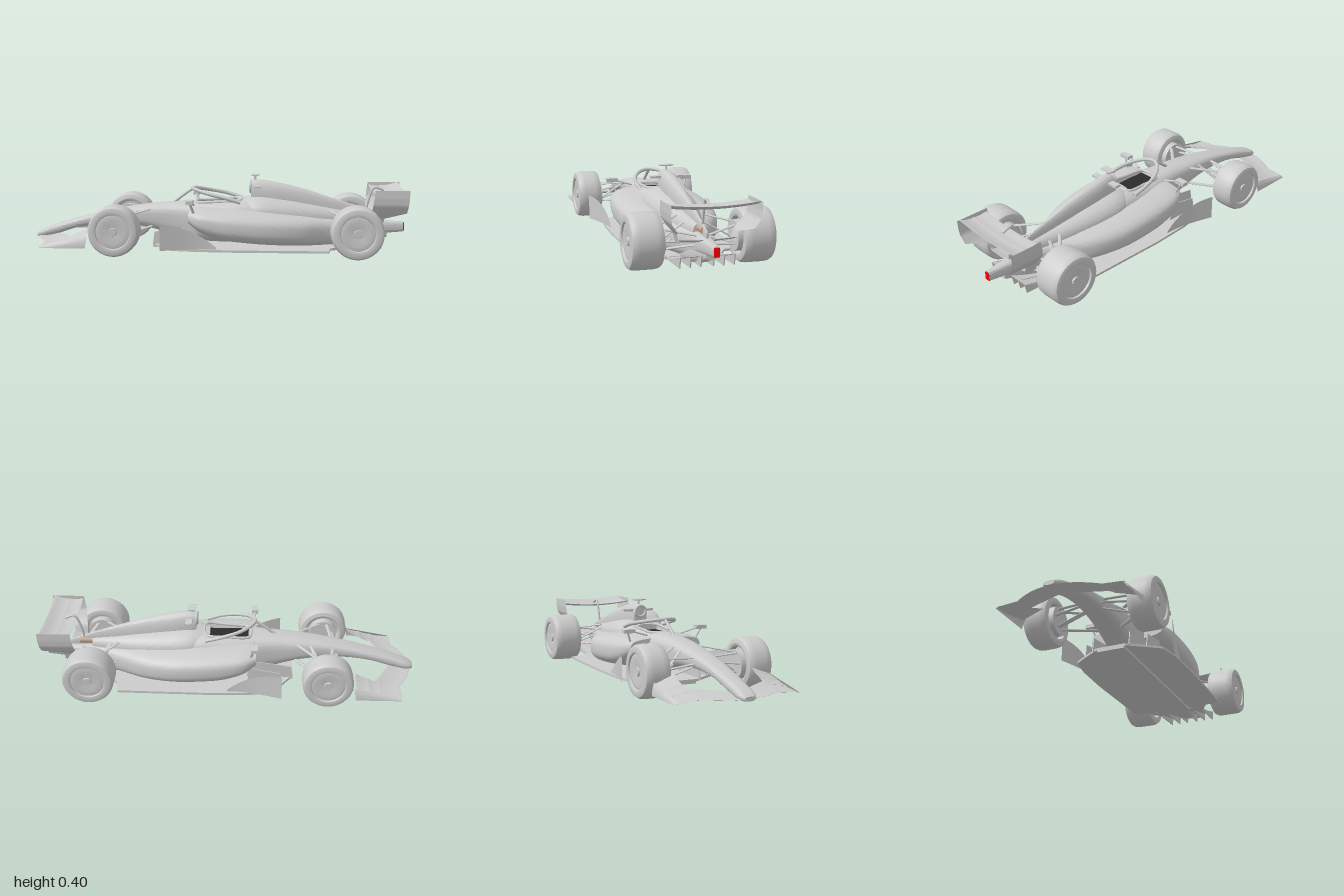
import * as THREE from 'three';
import { toCreasedNormals } from 'three/addons/utils/BufferGeometryUtils.js';

const paint = (color) => new THREE.MeshStandardMaterial({ color, side: THREE.DoubleSide });
const grey = paint(0xcccccc), dark = paint(0x2b2b2b), red = paint(0xff0000), copper = paint(0xc8a488);
const V = (x, y, z) => new THREE.Vector3(x, y, z);
const mix = THREE.MathUtils.lerp;

export function createModel() {
  const car = new THREE.Group();
  car.name = 'racingCar';

  const add = (name, geometry, material = grey, x = 0, y = 0, z = 0) => {
    const m = new THREE.Mesh(geometry, material);
    m.name = name;
    m.position.set(x, y, z);
    car.add(m);
    return m;
  };
  const box = (name, x, y, z, w, h, d, mat) => add(name, new THREE.BoxGeometry(w, h, d), mat, x, y, z);
  const both = (fn) => [1, -1].forEach(fn);

  // Surface from a rule fn(u, v) -> [x, y, z]
  const surface = (name, fn, nu, nv, mat) => {
    const g = new THREE.PlaneGeometry(1, 1, nu, nv), p = g.attributes.position, uv = g.attributes.uv;
    for (let i = 0; i < p.count; i++) p.setXYZ(i, ...fn(uv.getX(i), uv.getY(i)));
    return add(name, toCreasedNormals(g, 0.7), mat);
  };

  // Body lofted along x from stations [x, half width, bottom, top]; n sets the roundness
  const loft = (name, rows, n, shape = (p) => p, nv = 90) => {
    const curve = new THREE.CubicInterpolant(rows.map((r) => r[0]), rows.flatMap((r) => r.slice(1)), 3, new Float32Array(3));
    const a = rows[0][0], b = rows[rows.length - 1][0];
    const pow = (c) => Math.sign(c) * Math.abs(c) ** (2 / n);
    return surface(name, (u, v) => {
      const k = Math.round(v * nv);
      const x = mix(a, b, THREE.MathUtils.clamp((k - 1) / (nv - 2), 0, 1));
      const [w, lo, hi] = curve.evaluate(x), t = -u * Math.PI * 2;
      const s = k === 0 || k === nv ? 0 : 1; // closes both ends
      return shape([x, (lo + hi) / 2 + s * pow(Math.sin(t)) * (hi - lo) / 2, s * w * pow(Math.cos(t))]);
    }, 64, nv);
  };

  // Aerofoil spanning v = 0..1; section(v) -> [x0, y0, x1, y1, z, thickness]
  const wing = (name, section, nv = 20) => surface(name, (u, v) => {
    const [x0, y0, x1, y1, z, t] = section(v), a = u * Math.PI * 2, c = (1 - Math.cos(a)) / 2;
    return [mix(x0, x1, c), mix(y0, y1, c) - t * Math.sin(c * Math.PI) + t * Math.sin(a) / 2, z];
  }, 20, nv);

  const rod = (name, pts, r, mat = grey) =>
    add(name, new THREE.TubeGeometry(new THREE.CatmullRomCurve3(pts), pts.length * 8, r, 8), mat);

  // Flat link with a streamlined section between two points
  const arm = (name, a, b, chord = 0.02) => {
    const m = add(name, new THREE.CylinderGeometry(0.5, 0.5, a.distanceTo(b), 10));
    m.position.copy(a).lerp(b, 0.5);
    const y = b.clone().sub(a).normalize(), z = V(1, 0, 0).cross(y).normalize();
    m.quaternion.setFromRotationMatrix(new THREE.Matrix4().makeBasis(y.clone().cross(z), y, z));
    m.scale.set(chord, 1, 0.009);
  };

  // Vertical plate in x-y extruded through a small thickness
  const plate = (name, pts, z, t = 0.005) => {
    const s = new THREE.Shape(pts.map((p) => new THREE.Vector2(...p)));
    return add(name, new THREE.ExtrudeGeometry(s, { depth: t, bevelEnabled: false }), grey, 0, 0, z - t / 2);
  };

  // Nose and survival cell, with the cockpit sunk into the top
  loft('noseAndChassis', [
    [-1, 0.026, 0.055, 0.076], [-0.985, 0.038, 0.053, 0.086], [-0.9, 0.045, 0.068, 0.12], [-0.75, 0.051, 0.112, 0.165],
    [-0.6, 0.058, 0.128, 0.202], [-0.4, 0.075, 0.115, 0.236], [-0.25, 0.085, 0.075, 0.251], [-0.15, 0.1, 0.05, 0.256],
    [0, 0.128, 0.04, 0.262], [0.13, 0.132, 0.04, 0.272], [0.3, 0.125, 0.04, 0.26]], 3,
  ([x, y, z]) => [x, y > 0.2 && Math.abs(x) < 0.115 && Math.abs(z) < 0.062 ? 0.2 : y, z], 130);
  box('cockpitInterior', 0.005, 0.21, 0, 0.225, 0.06, 0.118, dark);
  rod('cockpitRim', [V(-0.125, 0.253, 0), V(-0.11, 0.253, 0.055), V(0, 0.258, 0.068), V(0.11, 0.266, 0.066), V(0.13, 0.272, 0),
    V(0.11, 0.266, -0.066), V(0, 0.258, -0.068), V(-0.11, 0.253, -0.055), V(-0.125, 0.253, 0)], 0.008);

  // Sidepods narrowing into the tail
  loft('sidepods', [
    [-0.15, 0.2, 0.145, 0.23], [-0.1, 0.228, 0.105, 0.236], [0, 0.247, 0.065, 0.235], [0.15, 0.252, 0.045, 0.227], [0.3, 0.238, 0.035, 0.212],
    [0.45, 0.19, 0.03, 0.195], [0.58, 0.115, 0.03, 0.178], [0.7, 0.062, 0.04, 0.17], [0.85, 0.035, 0.085, 0.162], [0.985, 0.016, 0.1, 0.153]], 3);
  // Engine cover and its spine
  loft('engineCover', [
    [0.1, 0.1, 0.1, 0.272], [0.2, 0.128, 0.1, 0.287], [0.35, 0.12, 0.1, 0.272], [0.5, 0.09, 0.1, 0.245], [0.62, 0.058, 0.1, 0.222], [0.74, 0.03, 0.12, 0.203]], 2.3);
  loft('airboxAndSpine', [
    [0.172, 0.037, 0.24, 0.37], [0.2, 0.041, 0.2, 0.374], [0.3, 0.044, 0.18, 0.362], [0.45, 0.034, 0.15, 0.327],
    [0.6, 0.02, 0.14, 0.281], [0.72, 0.01, 0.14, 0.242], [0.86, 0.006, 0.14, 0.19]], 2.4);
  const inlet = add('airboxInlet', new THREE.TorusGeometry(0.03, 0.007, 10, 28), grey, 0.17, 0.336, 0);
  inlet.rotation.y = Math.PI / 2;
  box('airboxWinglet', 0.21, 0.34, 0, 0.035, 0.012, 0.178);
  box('cameraStem', 0.195, 0.385, 0, 0.014, 0.03, 0.006);
  box('cameraBar', 0.195, 0.398, 0, 0.04, 0.006, 0.07);

  // Halo
  rod('haloHoop', [V(0.12, 0.262, 0.118), V(0.03, 0.288, 0.12), V(-0.06, 0.307, 0.095), V(-0.12, 0.321, 0.05), V(-0.142, 0.325, 0),
    V(-0.12, 0.321, -0.05), V(-0.06, 0.307, -0.095), V(0.03, 0.288, -0.12), V(0.12, 0.262, -0.118)], 0.01);
  rod('haloPillar', [V(-0.14, 0.324, 0), V(-0.18, 0.298, 0), V(-0.25, 0.245, 0)], 0.008);

  // Floor, plank and diffuser
  const half = [[-0.35, 0.08], [-0.29, 0.17], [-0.24, 0.24], [-0.12, 0.262], [0.1, 0.27], [0.58, 0.262], [0.59, 0.18], [0.66, 0.14]];
  const outline = [...half, ...half.map(([x, z]) => [x, -z]).reverse()].map((p) => new THREE.Vector2(...p));
  const floor = add('floor', new THREE.ExtrudeGeometry(new THREE.Shape(outline), { depth: 0.012, bevelEnabled: false }), grey, 0, 0.035, 0);
  floor.rotation.x = Math.PI / 2;
  box('plank', 0.13, 0.018, 0, 0.96, 0.012, 0.15);
  surface('diffuserRoof', (u, v) => [mix(0.58, 0.87, u), 0.028 + 0.055 * u * u, mix(0.135, -0.135, v)], 14, 2);
  for (const z of [-0.13, -0.08, -0.03, 0.03, 0.08, 0.13])
    plate('diffuserFence', [[0.6, 0.022], [0.86, 0.03], [0.87, 0.083], [0.75, 0.05], [0.6, 0.03]], z);
  loft('diffuserKeel', [[0.58, 0.07, 0.015, 0.05], [0.75, 0.05, 0.022, 0.11], [0.9, 0.018, 0.07, 0.12]], 3, undefined, 20);

  // Rear light and exhaust
  box('rearLight', 0.984, 0.126, 0, 0.012, 0.042, 0.026, red);
  const pipe = add('exhaust', new THREE.CylinderGeometry(0.016, 0.016, 0.14, 20), copper, 0.74, 0.186, 0);
  pipe.rotation.z = Math.PI / 2;

  // Rear wing: two bowed planes, beam wing and a centre support
  const bow = (z) => 0.014 * (z / 0.21) ** 2;
  const span = (name, w, x0, y0, x1, y1, t) => wing(name, (v) => {
    const z = mix(w, -w, v), b = bow(z);
    return [x0, y0 + b, x1, y1 + b, z, t];
  });
  span('rearWingMain', 0.208, 0.82, 0.312, 0.91, 0.312, 0.008);
  span('rearWingFlap', 0.208, 0.895, 0.308, 0.978, 0.33, 0.006);
  span('beamWing', 0.133, 0.8, 0.14, 0.87, 0.157, 0.005);
  rod('rearWingSupport', [V(0.78, 0.17, 0), V(0.8, 0.27, 0), V(0.83, 0.335, 0), V(0.88, 0.322, 0)], 0.007);

  // Endplate edge points [front x, rear x, y, z]
  const edge = [[0.815, 0.99, 0.342, 0.21], [0.81, 0.988, 0.3, 0.21], [0.805, 0.985, 0.262, 0.205], [0.8, 0.98, 0.222, 0.178],
    [0.795, 0.87, 0.19, 0.148], [0.795, 0.86, 0.14, 0.132]];
  both((s) => {
    surface('rearWingEndplate', (u, v) => {
      const k = Math.min(v * 5, 4.999), i = Math.floor(k), [a, b, y, z] = edge[i].map((e, j) => mix(e, edge[i + 1][j], k - i));
      return [mix(a, b, u), y, s * z];
    }, 6, 20);

    // Front wing: swept inner plane, stepped outer elements, curved endplate
    wing('frontWingMain', (v) => [-0.985 + 0.08 * v * v, 0.062, mix(-0.88, -0.775, v), 0.072 + 0.02 * v, s * 0.215 * v, 0.008]);
    wing('frontWingOuter', (v) => [-0.91, 0.06 - 0.008 * v, -0.79, 0.08 - 0.015 * v, s * mix(0.21, 0.315, v), 0.006]);
    wing('frontWingFlap', (v) => [-0.81, 0.08 - 0.015 * v, -0.73, 0.108 - 0.025 * v, s * mix(0.21, 0.315, v), 0.006]);
    wing('frontWingUpperFlap', (v) => [-0.745, 0.103 - 0.022 * v, -0.668, 0.138 - 0.04 * v, s * mix(0.21, 0.315, v), 0.005]);
    surface('frontWingEndplate', (u, v) => [mix(-0.91, -0.67, u) + 0.01 * v, mix(0.045, 0.06 + 0.045 * u, v),
      s * (0.325 - 0.015 * v * v)], 10, 6);

    // Floor fences ahead of the sidepods
    surface('edgeFence', (u, v) => [mix(-0.285, 0, u), mix(0.035, 0.165 - 0.12 * u * u, v), s * (0.31 - 0.06 * Math.sin(u * Math.PI / 2))], 16, 4);
    plate('innerFence', [[-0.35, 0.025], [-0.34, 0.1], [-0.24, 0.115], [-0.12, 0.13], [-0.1, 0.03]], s * 0.1);
    plate('middleFence', [[-0.29, 0.025], [-0.28, 0.1], [-0.12, 0.13], [-0.1, 0.03]], s * 0.17);

    // Mirrors
    box('mirror', -0.14, 0.274, s * 0.21, 0.035, 0.02, 0.062);
    arm('mirrorStay', V(-0.14, 0.27, s * 0.185), V(-0.13, 0.245, s * 0.1), 0.014);
    arm('mirrorPost', V(-0.14, 0.27, s * 0.215), V(-0.12, 0.21, s * 0.19), 0.014);

    // Wheels
    const wheel = (name, x, r, inner, outer) => {
      const w = outer - inner, c = 0.02;
      const profile = [[0.02, 0.03], [0.085, 0.03], [0.09, 0.004], [r - 0.03, 0], [r - 0.01, 0.006], [r - 0.002, c], [r, 0.04], [r, w - 0.04],
        [r - 0.002, w - c], [r - 0.01, w - 0.006], [r - 0.03, w], [0.09, w - 0.003], [0.087, w - 0.012], [0.06, w - 0.007], [0.03, w - 0.016],
        [0.022, w - 0.016], [0.02, w - 0.008], [0, w - 0.008]].map((p) => new THREE.Vector2(...p));
      const m = add(name, toCreasedNormals(new THREE.LatheGeometry(profile, 48), 0.6), grey, x, r + 0.002, s * inner);
      m.rotation.x = s * Math.PI / 2;
      const drum = add('brakeDrum', new THREE.CylinderGeometry(0.075, 0.075, 0.05, 28), grey, x, r, s * (inner + 0.012));
      drum.rotation.x = Math.PI / 2;
    };
    wheel('frontWheel', -0.523, 0.132, 0.21, 0.345);
    wheel('rearWheel', 0.72, 0.134, 0.188, 0.348);

    // Suspension links
    const links = [
      [-0.54, 0.19, 0.21, -0.56, 0.185, 0.05], [-0.51, 0.19, 0.21, -0.37, 0.215, 0.065],
      [-0.54, 0.09, 0.21, -0.55, 0.14, 0.05], [-0.51, 0.09, 0.21, -0.36, 0.125, 0.065],
      [-0.52, 0.1, 0.2, -0.44, 0.21, 0.06], [-0.57, 0.14, 0.21, -0.58, 0.16, 0.05],
      [0.7, 0.19, 0.2, 0.59, 0.215, 0.07], [0.73, 0.19, 0.2, 0.79, 0.16, 0.03],
      [0.7, 0.09, 0.2, 0.59, 0.11, 0.08], [0.73, 0.09, 0.2, 0.8, 0.12, 0.03],
      [0.76, 0.135, 0.2, 0.8, 0.135, 0.03], [0.7, 0.11, 0.2, 0.64, 0.19, 0.05]];
    for (const [x, y, z, x2, y2, z2] of links) arm('suspensionLink', V(x, y, s * z), V(x2, y2, s * z2));
  });
  return car;
}
